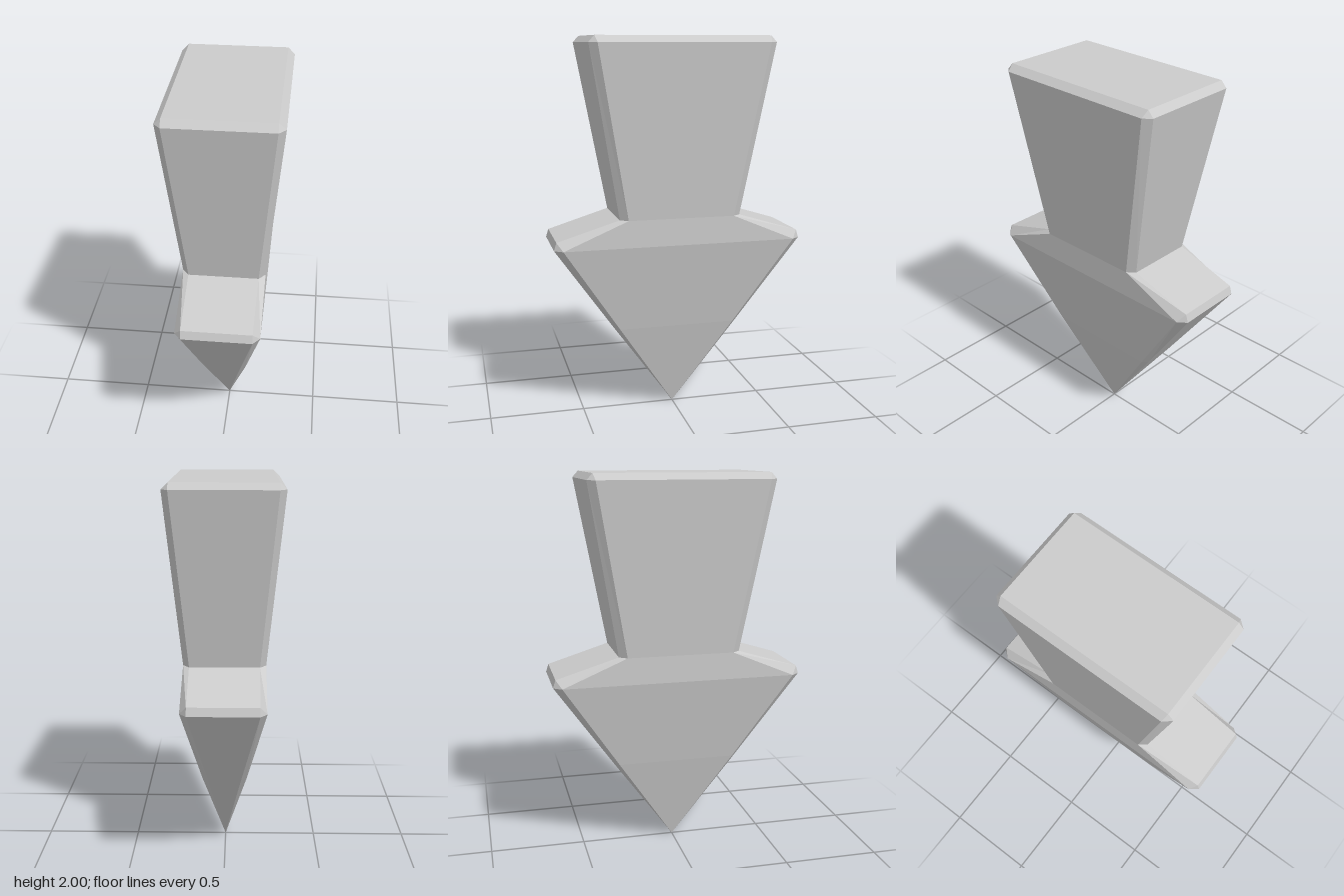
import * as THREE from 'three';

// Ring of eight corners: a rectangle with cut corners, counter-clockwise from above.
// The side corners (x, zIn) and the end corners (xIn, z) may sit at different heights.
function ring({ x, xIn, z, zIn, ySide, yEnd }) {
  return [
    [x, ySide, zIn], [x, ySide, -zIn], [xIn, yEnd, -z], [-xIn, yEnd, -z],
    [-x, ySide, -zIn], [-x, ySide, zIn], [-xIn, yEnd, z], [xIn, yEnd, z],
  ].map((p) => new THREE.Vector3(...p));
}

// Skin a stack of rings from top to bottom, optionally closing the top.
function loft(name, sections, capTop, material) {
  const rings = sections.map(ring);
  const points = [];
  const tri = (a, b, c) => {
    if (new THREE.Triangle(a, b, c).getArea() > 1e-7) points.push(a, b, c);
  };
  for (let r = 0; r < rings.length - 1; r++) {
    const up = rings[r], low = rings[r + 1];
    for (let i = 0; i < 8; i++) {
      const j = (i + 1) % 8;
      tri(up[i], low[i], low[j]);
      tri(up[i], low[j], up[j]);
    }
  }
  if (capTop) for (let i = 1; i < 7; i++) tri(rings[0][0], rings[0][i], rings[0][i + 1]);
  const geometry = new THREE.BufferGeometry().setFromPoints(points);
  geometry.computeVertexNormals();
  const mesh = new THREE.Mesh(geometry, material);
  mesh.name = name;
  return mesh;
}

export function createModel() {
  const group = new THREE.Group();
  group.name = 'downArrow';
  const grey = new THREE.MeshStandardMaterial({ color: 0xcccccc, flatShading: true });

  // Where the shaft meets the head
  const neck = { x: 0.21, xIn: 0.178, z: 0.32, zIn: 0.28, ySide: 1.08, yEnd: 1.08 };

  // Tapering shaft with a bevelled top
  group.add(loft('shaft', [
    { x: 0.258, xIn: 0.258, z: 0.447, zIn: 0.447, ySide: 2, yEnd: 2 },
    { x: 0.292, xIn: 0.258, z: 0.477, zIn: 0.438, ySide: 1.967, yEnd: 1.967 },
    neck,
  ], true, grey));

  // Barbed head running down to a point
  const barb = { x: 0.21, xIn: 0.175, zIn: 0.615, ySide: 0.938 };
  group.add(loft('arrowHead', [
    neck,
    { ...barb, z: 0.645, yEnd: 0.98 },
    { ...barb, z: 0.658, yEnd: 0.938 },
    { x: 0.115, xIn: 0.086, z: 0.338, zIn: 0.312, ySide: 0.475, yEnd: 0.475 },
    { x: 0, xIn: 0, z: 0, zIn: 0, ySide: 0, yEnd: 0 },
  ], false, grey));

  return group;
}
